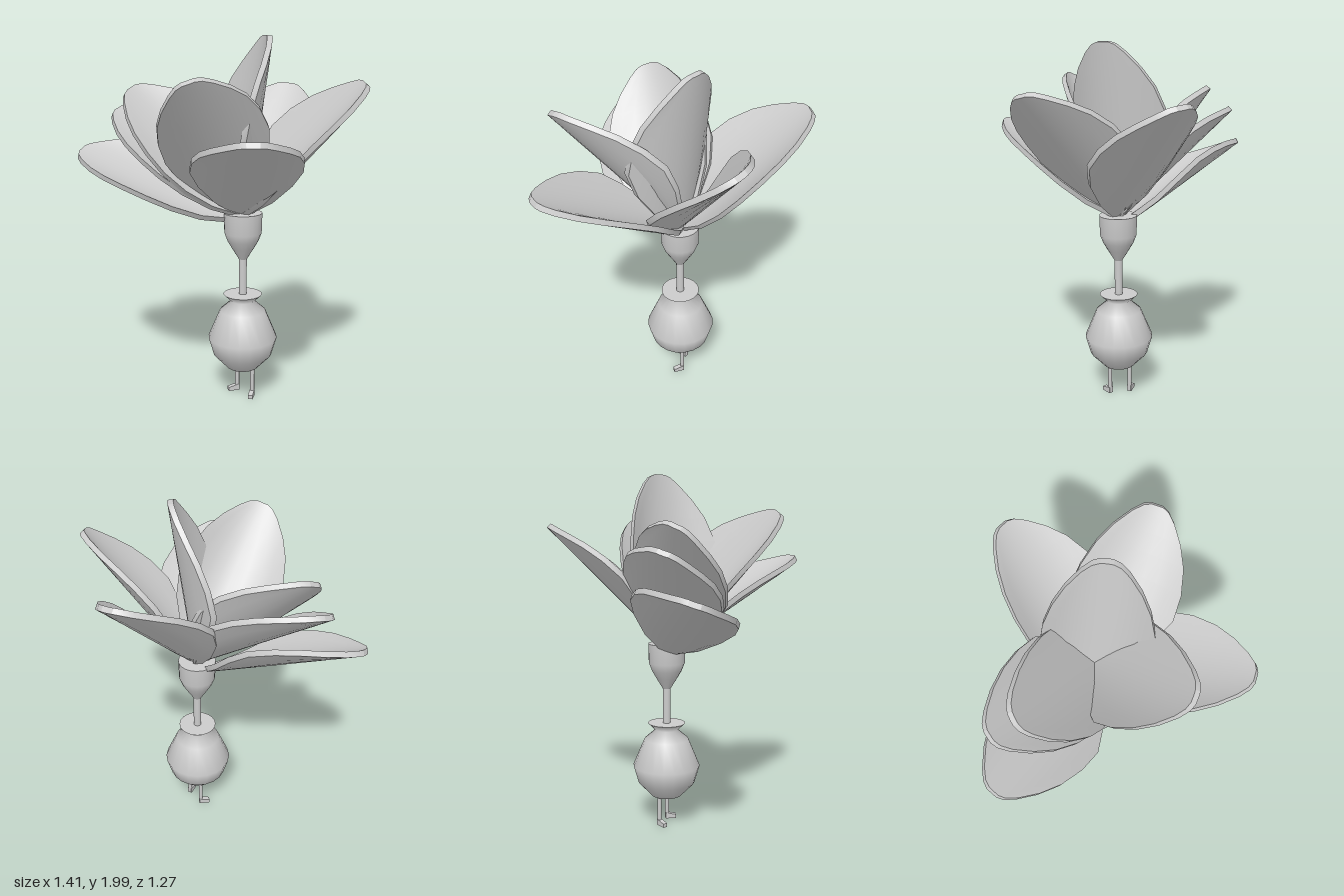
import * as THREE from 'three';

const material = new THREE.MeshStandardMaterial({ color: 0xcccccc, side: THREE.DoubleSide });
const CX = 0.113, CZ = 0.01; // axis of the pot and stem

// Petal outline: position along the petal, half width
const LENGTH = 0.93, THICKNESS = 0.03;
const outline = [[0, 0.035], [0.14, 0.15], [0.3, 0.24], [0.45, 0.28], [0.6, 0.268],
  [0.74, 0.23], [0.85, 0.175], [0.94, 0.11], [0.985, 0.065], [1, 0.03]];

// One cupped petal along +y with its hollow side facing +z
function petalGeometry(cup) {
  const rows = outline.length - 1;
  const geo = new THREE.BoxGeometry(2, rows, THICKNESS, 8, rows, 1);
  const p = geo.attributes.position;
  for (let i = 0; i < p.count; i++) {
    const [t, w] = outline[Math.round(p.getY(i) + rows / 2)];
    const x = p.getX(i) * w;
    p.setXYZ(i, x, t * LENGTH, p.getZ(i) + cup * x * x);
  }
  geo.computeVertexNormals();
  return geo;
}

function lathe(name, profile) {
  const points = profile.map(([r, y]) => new THREE.Vector2(r, y));
  const mesh = new THREE.Mesh(new THREE.LatheGeometry(points, 20), material);
  mesh.name = name;
  mesh.position.set(CX, 0, CZ);
  return mesh;
}

function disc(name, radius, y, up) {
  const mesh = new THREE.Mesh(new THREE.CircleGeometry(radius, 20), material);
  mesh.name = name;
  mesh.rotation.x = up ? -Math.PI / 2 : Math.PI / 2;
  mesh.position.set(CX, y, CZ);
  return mesh;
}

export function createModel() {
  const model = new THREE.Group();
  model.name = 'flowerInWalkingPot';

  // Pot with a flared rim
  model.add(lathe('pot', [[0.087, 0.17], [0.163, 0.25], [0.192, 0.35], [0.127, 0.505],
    [0.065, 0.56], [0.107, 0.6]]));
  model.add(disc('potBase', 0.087, 0.17, false), disc('potSoil', 0.107, 0.6, true));

  // Stem and the cup holding the petals
  const stem = new THREE.Mesh(new THREE.CylinderGeometry(0.022, 0.022, 0.24, 12), material);
  stem.name = 'stem';
  stem.position.set(CX, 0.7, CZ);
  model.add(stem);
  model.add(lathe('flowerCup', [[0.022, 0.8], [0.06, 0.862], [0.085, 0.905], [0.102, 0.95], [0.105, 1.06]]));
  model.add(disc('flowerCupTop', 0.105, 1.06, true));

  // Legs with small feet turned outwards
  for (const side of [-1, 1]) {
    const leg = new THREE.Group();
    leg.name = side > 0 ? 'leftLeg' : 'rightLeg';
    const shin = new THREE.Mesh(new THREE.CylinderGeometry(0.012, 0.012, 0.17, 8), material);
    shin.name = 'shin';
    shin.position.y = 0.09;
    const footGeo = new THREE.BoxGeometry(0.026, 0.036, 0.062);
    const p = footGeo.attributes.position;
    for (let i = 0; i < p.count; i++) {
      if (p.getZ(i) > 0 && p.getY(i) > 0) p.setY(i, 0.004); // slope the toe down
    }
    footGeo.computeVertexNormals();
    const foot = new THREE.Mesh(footGeo, material);
    foot.name = 'foot';
    foot.position.set(side * 0.011, 0.018, 0.02);
    foot.rotation.y = side * 0.5;
    leg.add(shin, foot);
    leg.position.set(CX + side * 0.057, 0, -0.01);
    model.add(leg);
  }

  // Petals: tip, direction of the hollow side, depth of the hollow, base
  const petals = [
    { name: 'backPetal', tip: [-0.08, 1.71, -0.62], face: [0.12, 1, 0.03] },
    { name: 'backLeftPetal', tip: [0.63, 1.75, -0.35], face: [0.15, 1, 0.2] },
    { name: 'frontLeftPetal', tip: [0.67, 1.53, 0.58], cup: 1.1 },
    { name: 'frontPetal', tip: [0.29, 1.78, 0.59], face: [-0.68, 0.52, -0.49], cup: 1.5 },
    { name: 'uprightPetal', tip: [0.2, 1.99, -0.08], face: [-0.53, 0.1, 0.8], cup: 1.7 },
    { name: 'upperRightPetal', tip: [-0.46, 1.71, 0.29], face: [0.75, 0.6, 0.25] },
    { name: 'middleRightPetal', tip: [-0.585, 1.59, 0.28], face: [0.62, 0.75, 0.18] },
    { name: 'lowerRightPetal', tip: [-0.68, 1.37, 0.47], face: [0.17, 1, 0.29], base: [0.05, 1.03, 0.04] },
  ];
  for (const { name, tip, face = [0, 1, 0], cup = 1.25, base = [CX, 1.06, CZ] } of petals) {
    const origin = new THREE.Vector3(...base);
    const axis = new THREE.Vector3(...tip).sub(origin);
    const stretch = axis.length() / LENGTH;
    axis.normalize();
    const across = axis.clone().cross(new THREE.Vector3(...face)).normalize();
    const normal = across.clone().cross(axis);
    const petal = new THREE.Mesh(petalGeometry(cup), material);
    petal.name = name;
    petal.quaternion.setFromRotationMatrix(new THREE.Matrix4().makeBasis(across, axis, normal));
    petal.position.copy(origin);
    petal.scale.y = stretch;
    model.add(petal);
  }
  return model;
}
